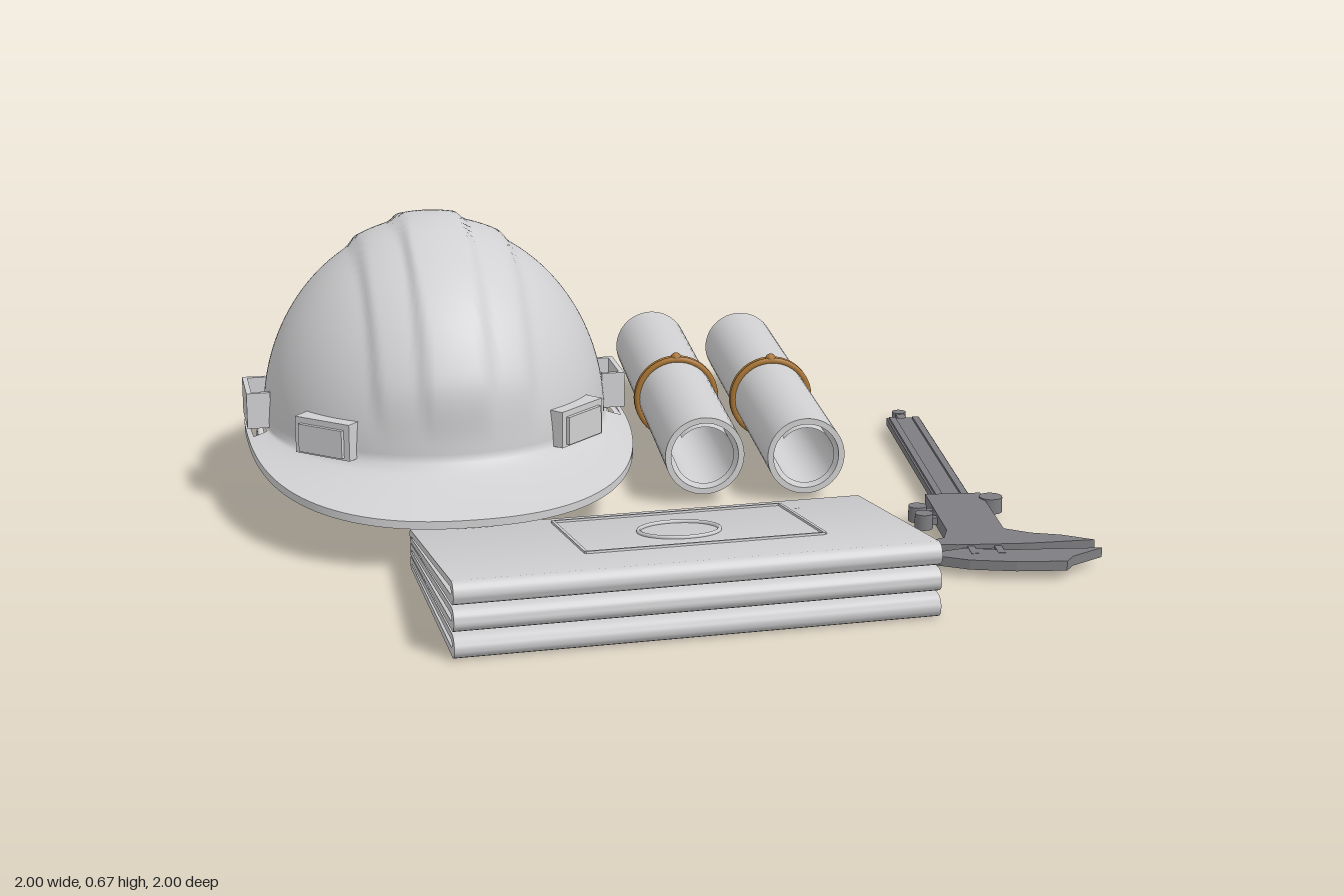
import * as THREE from 'three';
import { toCreasedNormals } from 'three/addons/utils/BufferGeometryUtils.js';

const mat = (name, color, side = THREE.FrontSide) => {
  const m = new THREE.MeshStandardMaterial({ color, side });
  m.name = name;
  return m;
};
const plastic = mat('light grey', 0xd0d0d2, THREE.DoubleSide);
const steel = mat('dark grey', 0x7e7e82);
const twine = mat('brown twine', 0xa87434);
const { lerp, smoothstep, clamp } = THREE.MathUtils;

function add(parent, name, geo, material, x = 0, y = 0, z = 0) {
  const m = new THREE.Mesh(geo, material);
  m.name = name;
  m.position.set(x, y, z);
  parent.add(m);
  return m;
}
function placed(parent, name, x, y, z, angle) {
  const g = new THREE.Group();
  g.name = name;
  g.position.set(x, y, z);
  g.rotation.y = angle;
  parent.add(g);
  return g;
}

// Closed rings of points joined into a surface; skip(i, j) leaves openings
function ringSurface(rows, cols, point, flip = false, skip = () => false) {
  const pos = [], idx = [];
  for (let i = 0; i <= rows; i++)
    for (let j = 0; j < cols; j++) pos.push(...point(i, (j / cols) * Math.PI * 2));
  for (let i = 0; i < rows; i++)
    for (let j = 0; j < cols; j++) {
      if (skip(i, j)) continue;
      const k = (j + 1) % cols;
      const a = i * cols + j, b = i * cols + k, c = a + cols, d = b + cols;
      if (flip) idx.push(a, c, b, b, c, d);
      else idx.push(a, b, c, b, d, c);
    }
  const g = new THREE.BufferGeometry();
  g.setAttribute('position', new THREE.Float32BufferAttribute(pos, 3));
  g.setIndex(idx);
  g.computeVertexNormals();
  return g;
}

// ---- Hard hat: +x is the visor direction ----
const DOME = 36, BRIM = 8, COLS = 160;
const domeRadius = (p) => 1 / Math.hypot(Math.cos(p) / 0.435, Math.sin(p) / 0.405);
function brimRadius(p) {
  const c = Math.cos(p), n = c > 0 ? 2.6 : 2.1;
  return (Math.abs(c / (c > 0 ? 0.62 : 0.52)) ** n + Math.abs(Math.sin(p) / 0.45) ** n) ** (-1 / n);
}
function hatPoint(i, p, inner) {
  const c = Math.cos(p), s = Math.sin(p), R = domeRadius(p) - (inner ? 0.016 : 0);
  if (i <= DOME) {
    const e = (1 - i / DOME) * Math.PI / 2;
    const side = Math.abs(R * s * Math.cos(e));
    // raised centre band plus a lower shoulder on each side
    const ridge = inner ? 0 : (0.014 * (1 - smoothstep(side, 0.06, 0.085))
      + 0.013 * (1 - smoothstep(side, 0.16, 0.19))) * smoothstep(e, 0.08, 0.4);
    const r = R * Math.cos(e) + ridge * Math.cos(e);
    return [r * c, 0.2 + (inner ? 0.44 : 0.453) * Math.sin(e) + ridge * Math.sin(e) - (inner ? 0.014 : 0), r * s];
  }
  const t = (i - DOME) / BRIM, r = lerp(R, brimRadius(p), t);
  const edge = 0.168 + 0.018 * s * s - 0.042 * Math.max(0, c) ** 2;
  return [r * c, lerp(0.2, edge, t ** 0.7) - (inner ? 0.018 : 0), r * s];
}
function buildHat(parent) {
  const hat = placed(parent, 'hardHat', -0.5, 0, 0.235, -0.61);
  const slot = (i, j) => i > DOME && i < DOME + 6 && Math.abs((j % 80) - 39.5) < 5;
  const rows = DOME + BRIM;
  add(hat, 'shellOutside', ringSurface(rows, COLS, (i, p) => hatPoint(i, p, false), false, slot), plastic);
  add(hat, 'shellInside', ringSurface(rows, COLS, (i, p) => hatPoint(i, p, true), true, slot), plastic);
  add(hat, 'brimEdge', ringSurface(1, COLS, (i, p) => hatPoint(rows, p, i === 1)), plastic);

  // six harness sockets round the base; the two at the sides are open slots
  for (const side of [1, -1])
    for (const deg of [42, 90, 138]) {
      const p = side * THREE.MathUtils.degToRad(deg), r = domeRadius(p);
      const socket = placed(hat, 'socket', r * Math.cos(p), 0.245, r * Math.sin(p), Math.PI / 2 - p);
      if (deg === 90) {
        add(socket, 'socketFace', new THREE.BoxGeometry(0.15, 0.085, 0.012), plastic, 0, 0, 0.038);
        for (const x of [-0.069, 0.069])
          add(socket, 'socketEnd', new THREE.BoxGeometry(0.012, 0.085, 0.05), plastic, x, 0, 0.014);
        add(hat, 'strapRing', new THREE.TorusGeometry(0.028, 0.008, 10, 28), plastic, 0, 0.147, side * 0.415);
      } else {
        add(socket, 'socketBlock', new THREE.BoxGeometry(0.15, 0.085, 0.05), plastic);
        add(socket, 'socketFace', new THREE.BoxGeometry(0.12, 0.065, 0.012), plastic, 0, -0.004, 0.028);
      }
    }
}

// ---- Rolled drawings tied with twine ----
function buildRoll(parent, x, y, z, r) {
  const roll = placed(parent, 'paperRoll', x, y, z, -0.695);
  const h = 0.51, w = 0.014;
  const profile = [[r - w, -h], [r, -h], [r, h], [r - w, h], [r - w, -h]].map(([a, b]) => new THREE.Vector2(a, b));
  const tube = toCreasedNormals(new THREE.LatheGeometry(profile, 48), 0.6);
  add(roll, 'paperTube', tube.rotateZ(-Math.PI / 2), plastic);
  // loose inner turn of the sheet
  const turn = new THREE.CylinderGeometry(r - 0.024, r - 0.024, 2 * h - 0.012, 40, 1, true, 0.4, 5.2);
  add(roll, 'innerTurn', turn.rotateZ(-Math.PI / 2), plastic);
  for (const dx of [-0.007, 0.007])
    add(roll, 'twineLoop', new THREE.TorusGeometry(r + 0.005, 0.008, 8, 48).rotateY(Math.PI / 2), twine, dx, 0, 0);
  add(roll, 'twineKnot', new THREE.SphereGeometry(0.014, 10, 8), twine, 0, r + 0.008, 0);
}

// ---- Folded sheets: thick at the fold, thin at the far side ----
function buildFolder(parent) {
  const stack = placed(parent, 'foldedSheets', 0.415, 0, 0.4, -0.583);
  for (let i = 0; i < 3; i++) {
    const l0 = 0.008 + 0.031 * i, l1 = l0 + 0.029, r0 = 0.008 + 0.057 * i, r1 = r0 + 0.05;
    const s = new THREE.Shape();
    s.moveTo(-0.28, l0);
    s.lineTo(0.265, r0);
    s.bezierCurveTo(0.298, r0, 0.298, r1, 0.265, r1);
    s.lineTo(-0.28, l1);
    s.bezierCurveTo(-0.296, l1, -0.296, l0, -0.28, l0);
    // gap between the two halves of the folded sheet
    const gap = new THREE.Path(), lm = (l0 + l1) / 2, rm = (r0 + r1) / 2;
    gap.moveTo(-0.27, lm - 0.002);
    gap.lineTo(0.25, rm - 0.008);
    gap.quadraticCurveTo(0.275, rm, 0.25, rm + 0.008);
    gap.lineTo(-0.27, lm + 0.002);
    s.holes.push(gap);
    const geo = new THREE.ExtrudeGeometry(s, { depth: 1.03, bevelEnabled: false, curveSegments: 10 });
    add(stack, 'foldedSheet', toCreasedNormals(geo.translate(0, 0, -0.515), 0.7), plastic);
  }
  // embossed frame and ring on the sloping top
  const top = new THREE.Group();
  top.name = 'coverRelief';
  top.position.set(0, 0.1375, 0);
  top.rotation.z = 0.133;
  stack.add(top);
  const cx = -0.065, cz = -0.055, W = 0.35, L = 0.52;
  for (const s of [-1, 1]) {
    add(top, 'frameLine', new THREE.BoxGeometry(0.007, 0.006, L), plastic, cx + s * W / 2, 0.001, cz);
    add(top, 'frameLine', new THREE.BoxGeometry(W, 0.006, 0.007), plastic, cx, 0.001, cz + s * L / 2);
  }
  add(top, 'coverRing', new THREE.TorusGeometry(0.088, 0.005, 8, 48).rotateX(Math.PI / 2), plastic, -0.05, 0.001, -0.035);
}

// ---- Sliding caliper: beam along +x, long jaws towards -z ----
function buildCaliper(parent) {
  const cal = placed(parent, 'caliper', 0.035, 0, -0.9, -0.733);
  const plate = (name, pts, y, depth) => {
    const shape = new THREE.Shape(pts.map(([a, b]) => new THREE.Vector2(a, b)));
    const geo = new THREE.ExtrudeGeometry(shape, { depth, bevelEnabled: false });
    add(cal, name, geo.rotateX(-Math.PI / 2), steel, 0, y, 0);
  };
  add(cal, 'beam', new THREE.BoxGeometry(1.1, 0.018, 0.085), steel, 0.56, 0.036, 0);
  for (const z of [-0.03, 0.03])
    add(cal, 'beamRail', new THREE.BoxGeometry(1.06, 0.008, 0.016), steel, 0.55, 0.047, z);
  add(cal, 'depthRod', new THREE.BoxGeometry(0.08, 0.012, 0.022), steel, -0.02, 0.036, 0);
  add(cal, 'rodTip', new THREE.CylinderGeometry(0.018, 0.018, 0.016, 14), steel, -0.05, 0.036, 0);
  plate('fixedJaw', [[1.04, -0.045], [1.065, -0.125], [1.085, -0.12], [1.12, -0.05], [1.14, 0.05],
    [1.145, 0.16], [1.115, 0.18], [1.064, 0.257], [1.06, 0.1], [1.06, 0.04]], 0.028, 0.022);
  plate('slidingJaw', [[0.67, -0.065], [0.93, -0.065], [0.98, -0.08], [1.018, -0.157], [1.032, -0.06],
    [1.035, 0.1], [1.024, 0.25], [0.985, 0.185], [0.965, 0.12], [0.93, 0.065], [0.67, 0.065]], 0.024, 0.031);
  // lock screws and thumb wheel
  const screw = (name, x, z, r) => {
    add(cal, name, new THREE.CylinderGeometry(r, r, 0.036, 20), steel, x, 0.04, z);
    add(cal, name + 'Stem', new THREE.BoxGeometry(0.02, 0.016, 0.05), steel, x, 0.04, z * 0.75);
  };
  screw('thumbWheel', 0.708, -0.082, 0.027);
  screw('lockScrew', 0.76, 0.1, 0.021);
  screw('lockScrew', 0.815, 0.095, 0.021);
}

export function createModel() {
  const model = new THREE.Group();
  model.name = 'buildersKit';
  buildHat(model);
  buildRoll(model, -0.165, 0.12, -0.61, 0.092);
  buildRoll(model, -0.325, 0.127, -0.43, 0.094);
  buildFolder(model);
  buildCaliper(model);
  return model;
}
